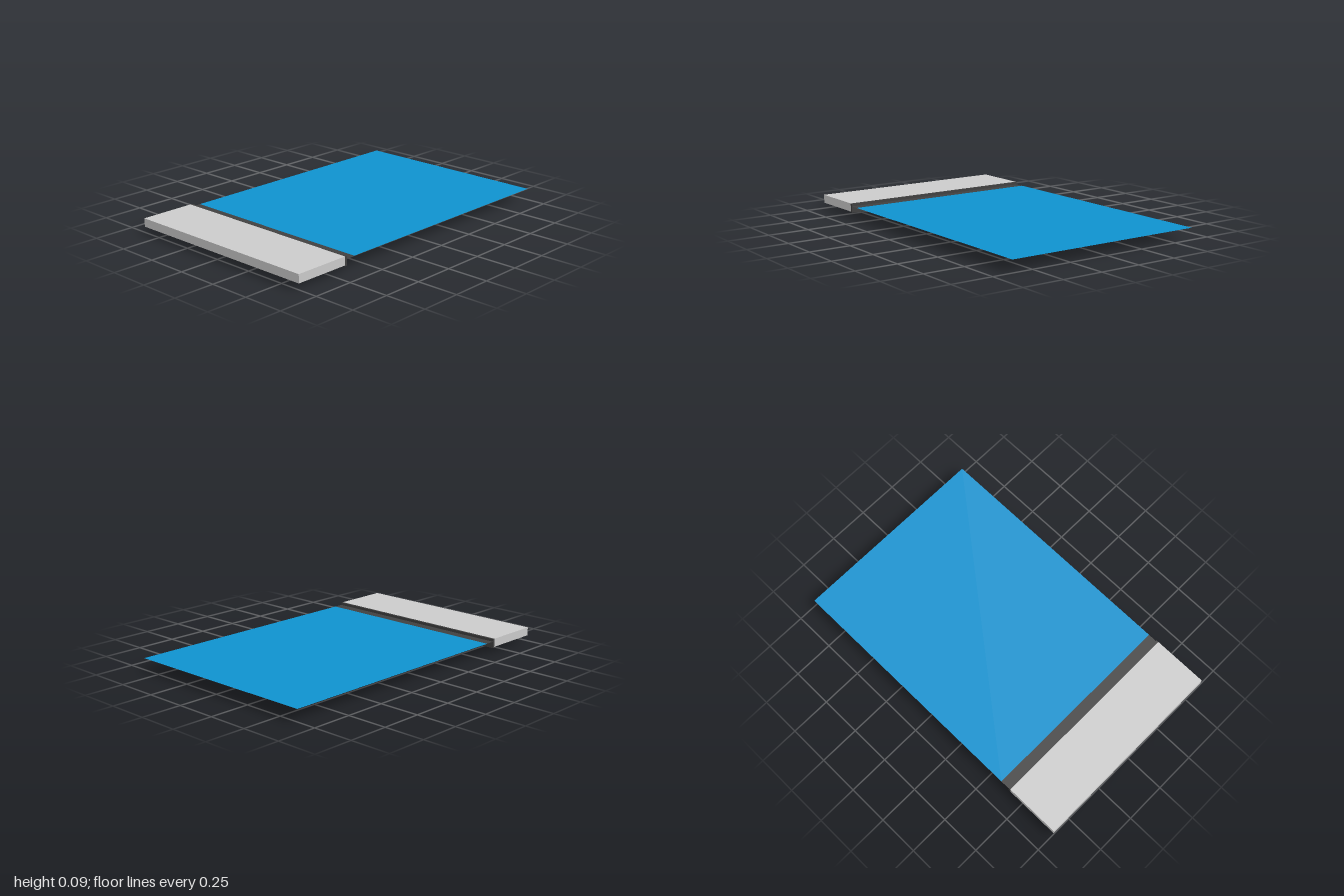
import * as THREE from 'three';

const W = 1.254; // full width shared by the body, bar and sheet

export function createModel() {
  const model = new THREE.Group();
  const mat = (name, color, side = THREE.FrontSide) => {
    const m = new THREE.MeshStandardMaterial({ color, side });
    m.name = name;
    return m;
  };
  const grey = mat('light grey', 0xcbcbcb);
  const dark = mat('charcoal', 0x404040);
  const darkSheet = mat('charcoal sheet', 0x404040, THREE.DoubleSide);
  const blue = mat('blue', 0x0e92cf, THREE.DoubleSide);
  const green = mat('green', 0x35c310);

  const add = (name, geometry, material, parent = model) => {
    const mesh = new THREE.Mesh(geometry, material);
    mesh.name = name;
    parent.add(mesh);
    return mesh;
  };
  // box given by its limits in y and z
  const slab = (name, y0, y1, z0, z1, material) =>
    add(name, new THREE.BoxGeometry(W, y1 - y0, z1 - z0), material)
      .position.set(0, (y0 + y1) / 2, (z0 + z1) / 2);
  // flat horizontal sheet without thickness
  const sheet = (name, y, z0, z1, material) =>
    add(name, new THREE.PlaneGeometry(W, z1 - z0).rotateX(-Math.PI / 2), material)
      .position.set(0, y, (z0 + z1) / 2);

  // body, back bar, flap and long sheet
  slab('body', 0.035, 0.086, 0.657, 1, grey);
  slab('backBar', 0.03, 0.086, 0.643, 0.657, dark);
  sheet('flap', 0.07, 0.585, 0.643, darkSheet);
  sheet('sheet', 0.07, -1, 0.585, blue);

  // hollow rectangular frames beneath, each around a recessed panel
  const w = 0.25, d = 0.155, h = 0.035, b = 0.025;
  const rect = (path, x, y) => path.moveTo(-x, -y).lineTo(x, -y).lineTo(x, y).lineTo(-x, y).closePath
    ? path.lineTo(-x, -y) : path;
  const outline = rect(new THREE.Shape(), w / 2, d / 2);
  outline.holes.push(rect(new THREE.Path(), w / 2 - b, d / 2 - b));
  const frame = new THREE.ExtrudeGeometry(outline, { depth: h, bevelEnabled: false })
    .rotateX(-Math.PI / 2);
  const panel = new THREE.BoxGeometry(w - 2 * b, 0.008, d - 2 * b);
  for (const side of [-1, 1]) {
    const foot = new THREE.Group();
    foot.name = side > 0 ? 'leftFoot' : 'rightFoot';
    foot.position.set(side * 0.312, 0, 0.857);
    add('frame', frame, dark, foot);
    add('panel', panel, green, foot).position.y = 0.024;
    model.add(foot);
  }
  return model;
}
